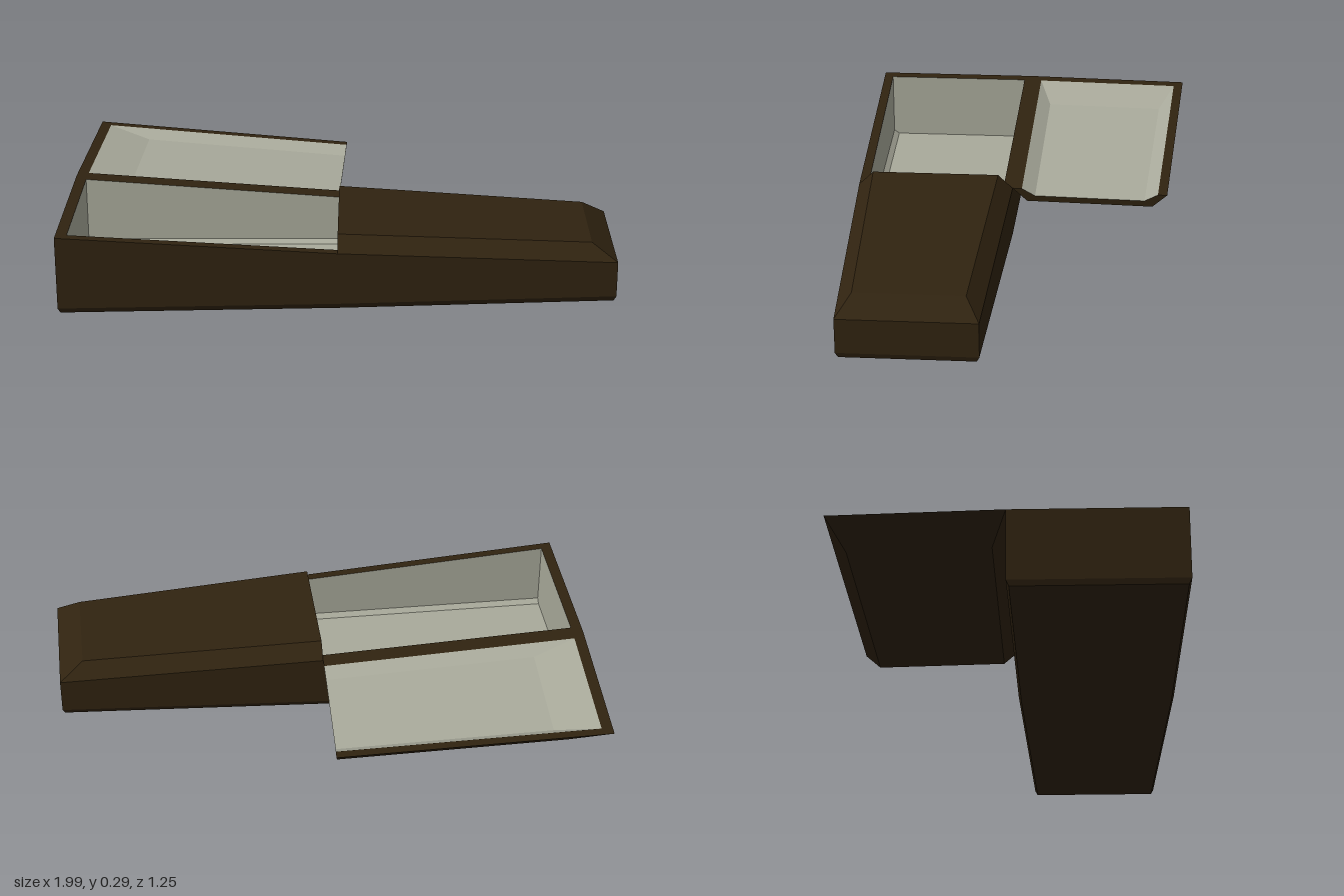
import * as THREE from 'three';

const HEAD = -0.995, FOOT = 0.995;

// Outline of the box: straight from head to middle, then tapering faster to the foot
const bend = (x, a, b, c) => (x < 0 ? b + (a - b) * (x / HEAD) : b + (c - b) * (x / FOOT));
const backZ = (x) => bend(x, 0, 0.02, 0.065);
const frontZ = (x) => bend(x, 0.625, 0.605, 0.56);
const rimY = (x) => bend(x, 0.29, 0.228, 0.18);
const baseY = (x) => 0.015 * (x - HEAD) / FOOT;

// Closed loop of corners, counterclockwise from above, starting at head back
function ring(xs, inset, height) {
  const at = (x, z) => new THREE.Vector3(x, height(x), z);
  return [
    at(xs[0], backZ(xs[0]) + inset),
    ...xs.map((x) => at(x, frontZ(x) - inset)),
    ...xs.slice(1).reverse().map((x) => at(x, backZ(x) + inset)),
  ];
}

// Faces between consecutive rings, optionally leaving one side open
function skin(rings, openSide = -1) {
  const tris = [];
  for (let r = 0; r + 1 < rings.length; r++) {
    const lo = rings[r], hi = rings[r + 1], n = lo.length;
    for (let i = 0; i < n; i++) {
      if (i === openSide) continue;
      const j = (i + 1) % n;
      tris.push(lo[i], lo[j], hi[j], lo[i], hi[j], hi[i]);
    }
  }
  return tris;
}

function cap(loop, up) {
  const tris = [];
  for (let i = 1; i + 1 < loop.length; i++) {
    tris.push(loop[0], ...(up ? [loop[i], loop[i + 1]] : [loop[i + 1], loop[i]]));
  }
  return tris;
}

function part(name, tris, material) {
  const geometry = new THREE.BufferGeometry().setFromPoints(tris);
  geometry.computeVertexNormals();
  const mesh = new THREE.Mesh(geometry, material);
  mesh.name = name;
  return mesh;
}

// Half of the bevelled hollow lid, open at the middle of the box
function lidHalf(name, isHead, wood, lining) {
  const span = (end, top) => (isHead ? [HEAD + end, 0] : [0, FOOT - top]);
  const open = isHead ? 2 : 0;
  const rimOut = ring(span(0, 0), 0, rimY);
  const topOut = ring(span(0.16, 0.09), 0.055, (x) => rimY(x) + 0.053);
  const rimIn = ring(span(0.04, 0.04), 0.035, rimY);
  const topIn = ring(span(0.205, 0.12), 0.085, (x) => rimY(x) + 0.029);

  // Thickness of the board along the cut
  const [f, b] = isHead ? [2, 3] : [1, 0];
  const outer = [rimOut[f], topOut[f], topOut[b], rimOut[b]];
  const inner = [rimIn[f], topIn[f], topIn[b], rimIn[b]];
  const cut = [];
  for (let i = 0; i < 3; i++) {
    const q = [outer[i], inner[i], inner[i + 1], outer[i + 1]];
    if (!isHead) q.reverse();
    cut.push(q[0], q[1], q[2], q[0], q[2], q[3]);
  }

  const group = new THREE.Group();
  group.name = name;
  group.add(
    part(name + 'Boards', [
      ...skin([rimOut, topOut], open), ...cap(topOut, true),
      ...skin([rimIn, rimOut], open), ...cut,
    ], wood),
    part(name + 'Lining', [...cap(topIn, false), ...skin([topIn, rimIn], open)], lining),
  );
  return group;
}

export function createModel() {
  const wood = new THREE.MeshStandardMaterial({ color: 0x302310 });
  wood.name = 'darkWood';
  const lining = new THREE.MeshStandardMaterial({ color: 0xa9aa9b });
  lining.name = 'paleLining';

  const model = new THREE.Group();
  model.name = 'casket';

  // Box: chamfered bottom edge, tapering walls and flat rim
  const xs = (inset) => [HEAD + inset, 0, FOOT - inset];
  const bottom = ring(xs(0.008), 0.01, baseY);
  const chamfer = ring(xs(0), 0, (x) => baseY(x) + 0.02);
  const rimOut = ring(xs(0), 0, rimY);
  const rimIn = ring(xs(0.04), 0.035, rimY);
  model.add(part('boxBoards', [...cap(bottom, false), ...skin([bottom, chamfer, rimOut, rimIn])], wood));

  // Lining of the box, bevelled where walls meet the floor
  const wallFoot = ring(xs(0.04), 0.035, (x) => baseY(x) + 0.045);
  const floor = ring(xs(0.04), 0.055, (x) => baseY(x) + 0.03);
  model.add(part('boxLining', [...skin([rimIn, wallFoot, floor]), ...cap(floor, true)], lining));

  // Closed lid over the foot half
  model.add(lidHalf('footLid', false, wood, lining));

  // Head lid, swung half a turn about the back rim
  const hinge = new THREE.Vector3(HEAD, rimY(HEAD), backZ(HEAD));
  const axis = new THREE.Vector3(0, rimY(0), backZ(0)).sub(hinge).normalize();
  const swing = new THREE.Group();
  swing.name = 'headLidHinge';
  swing.position.copy(hinge);
  swing.quaternion.setFromAxisAngle(axis, Math.PI);
  const headLid = lidHalf('headLid', true, wood, lining);
  headLid.position.copy(hinge).negate();
  swing.add(headLid);
  model.add(swing);

  return model;
}
